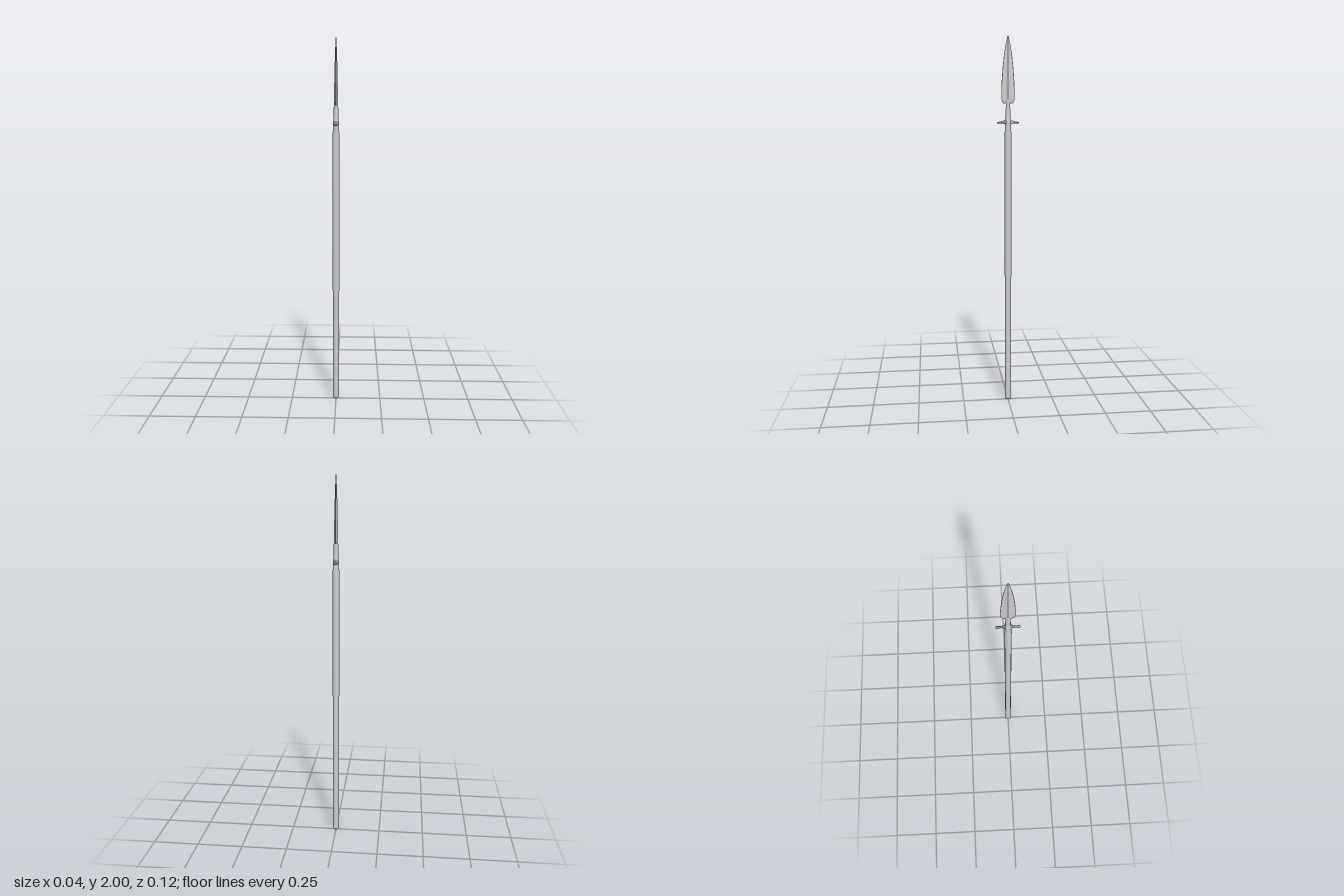
import * as THREE from 'three';

const material = new THREE.MeshStandardMaterial({ color: 0xcccccc, flatShading: true });

// Skin between equal-length rings of [x, y, z] points, closed with a fan at both ends.
function loft(rings) {
  const n = rings[0].length, pos = rings.flat(2), index = [];
  for (let r = 0; r < rings.length - 1; r++) {
    for (let i = 0; i < n; i++) {
      const a = r * n + i, b = r * n + (i + 1) % n;
      index.push(a, b, b + n, a, b + n, a + n);
    }
  }
  const top = (rings.length - 1) * n;
  for (let i = 1; i < n - 1; i++) index.push(0, i + 1, i, top, top + i, top + i + 1);
  const g = new THREE.BufferGeometry();
  g.setAttribute('position', new THREE.Float32BufferAttribute(pos, 3));
  g.setIndex(index);
  g.computeVertexNormals();
  return g;
}

function lathe(profile, sides) {
  return new THREE.LatheGeometry(profile.map(([r, y]) => new THREE.Vector2(r, y)), sides);
}

// Ridged blade section: thick at the spine (x), thin towards the edges (z).
function bladeRing([y, halfWidth, ridge]) {
  const shoulder = [ridge * 0.4, halfWidth * 0.38], edge = Math.min(0.0012, ridge * 0.3);
  const quarter = [[ridge, 0], shoulder, [edge, halfWidth * 0.96]];
  const [p, q, e] = quarter;
  return [
    [p[0], y, 0], [q[0], y, -q[1]], [e[0], y, -e[1]], [0, y, -halfWidth],
    [-e[0], y, -e[1]], [-q[0], y, -q[1]], [-p[0], y, 0], [-q[0], y, q[1]],
    [-e[0], y, e[1]], [0, y, halfWidth], [e[0], y, e[1]], [q[0], y, q[1]],
  ];
}

// Oval section of a guard wing, at a distance along its length.
function wingRing([dist, halfWidth, halfHeight, drop]) {
  return Array.from({ length: 8 }, (_, i) => {
    const a = i / 8 * Math.PI * 2;
    return [Math.cos(a) * halfWidth, dist, drop - Math.sin(a) * halfHeight];
  });
}

export function createModel() {
  const model = new THREE.Group();
  const add = (name, geometry, parent = model) => {
    const mesh = new THREE.Mesh(geometry, material);
    mesh.name = name;
    parent.add(mesh);
    return mesh;
  };

  // Long pole with a rounded butt
  add('shaft', lathe([
    [0, 0], [0.012, 0.002], [0.0165, 0.007], [0.018, 0.015],
    [0.018, 1.49], [0.0165, 1.51], [0, 1.51],
  ], 12));

  // Metal socket narrowing into the neck below the blade
  add('socket', lathe([
    [0, 1.495], [0.0175, 1.495], [0.0165, 1.53], [0.0165, 1.555],
    [0.0135, 1.575], [0.012, 1.62], [0.0115, 1.66], [0.007, 1.69], [0, 1.70],
  ], 12));

  // Leaf-shaped blade, broad in z
  add('blade', loft([
    [1.648, 0.022, 0.0105], [1.655, 0.031, 0.0105], [1.67, 0.035, 0.0105],
    [1.71, 0.0355, 0.01], [1.77, 0.033, 0.009], [1.83, 0.0285, 0.0075],
    [1.89, 0.022, 0.006], [1.94, 0.0145, 0.004], [1.975, 0.0075, 0.0025],
    [1.993, 0.0025, 0.001], [2, 0.0002, 0.0002],
  ].map(bladeRing)));

  // Cross guard: two mirrored wings with flared ends
  const guard = new THREE.Group();
  guard.name = 'guard';
  guard.position.y = 1.55;
  model.add(guard);
  const wing = loft([
    [0, 0.015, 0.018, 0], [0.014, 0.0125, 0.014, 0], [0.02, 0.008, 0.009, 0],
    [0.03, 0.0045, 0.0065, 0], [0.042, 0.0055, 0.005, 0.001],
    [0.054, 0.0075, 0.004, 0.003], [0.058, 0.006, 0.0025, 0.003],
  ].map(wingRing)).rotateX(Math.PI / 2);
  add('frontWing', wing, guard);
  add('backWing', wing, guard).rotation.y = Math.PI;

  return model;
}
